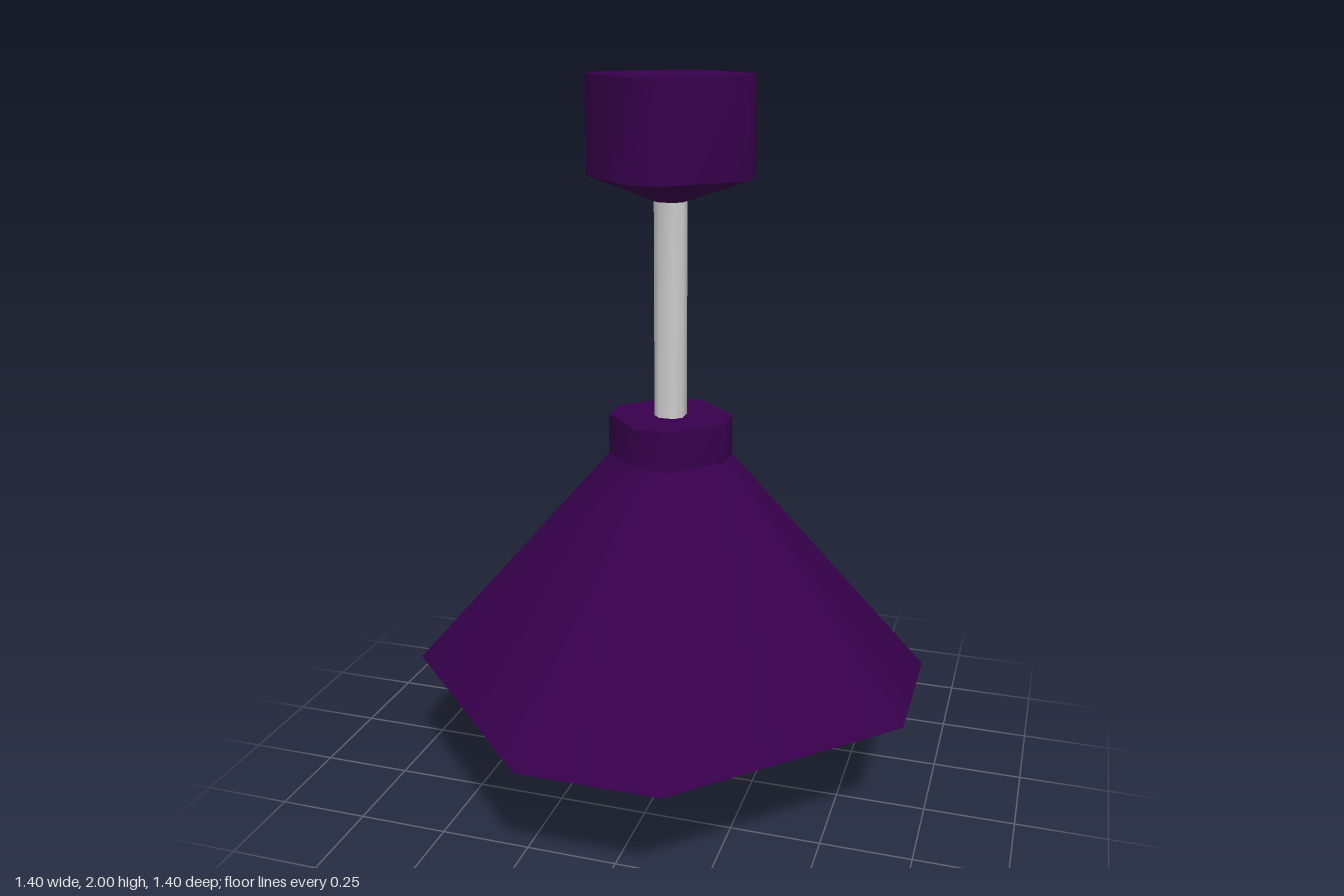
import * as THREE from 'three';
import { toCreasedNormals } from 'three/addons/utils/BufferGeometryUtils.js';

// Eight-sided ring: sides of half width c across the axes, joined by diagonal sides
function ring([r, c, y]) {
  return [[r, -c], [r, c], [c, r], [-c, r], [-r, c], [-r, -c], [-c, -r], [c, -r]]
    .map(([x, s]) => [x, y, -s]);
}

// Skin a stack of [r, c, y] rings listed from bottom to top
function loft(levels, capped = true) {
  const rings = levels.map(ring);
  const pos = [];
  const tri = (a, b, c) => pos.push(...a, ...b, ...c);
  for (let k = 0; k < rings.length - 1; k++) {
    for (let i = 0; i < 8; i++) {
      const j = (i + 1) % 8, lo = rings[k], up = rings[k + 1];
      tri(lo[i], lo[j], up[j]);
      tri(lo[i], up[j], up[i]);
    }
  }
  if (capped) {
    const first = rings[0], last = rings[rings.length - 1];
    for (let i = 1; i < 7; i++) {
      tri(first[0], first[i + 1], first[i]);
      tri(last[0], last[i], last[i + 1]);
    }
  }
  const geo = new THREE.BufferGeometry();
  geo.setAttribute('position', new THREE.Float32BufferAttribute(pos, 3));
  return toCreasedNormals(geo, THREE.MathUtils.degToRad(62));
}

export function createModel() {
  const model = new THREE.Group();
  model.name = 'pendantLamp';
  const purple = new THREE.MeshStandardMaterial({ color: 0x37004c });
  const purpleSheet = new THREE.MeshStandardMaterial({ color: 0x37004c, side: THREE.DoubleSide });
  const brass = new THREE.MeshStandardMaterial({ color: 0xb58640 });
  const grey = new THREE.MeshStandardMaterial({ color: 0xcccccc });

  const add = (name, geo, material) => {
    const mesh = new THREE.Mesh(geo, material);
    mesh.name = name;
    model.add(mesh);
  };

  // Ceiling canopy with a shallow tapered underside
  add('ceilingCanopy', loft([[0.04, 0.02, 1.68], [0.216, 0.047, 1.743], [0.216, 0.047, 2]]), purple);

  // Hanging rod
  add('rod', loft([[0.04, 0.02, 1.09], [0.04, 0.02, 1.69]]), grey);

  // Collar and open shade
  add('collar', loft([[0.163, 0.046, 0.99], [0.163, 0.046, 1.1]]), purple);
  add('shade', loft([[0.7, 0.193, 0.357], [0.163, 0.046, 0.99]], false), purpleSheet);

  // Bulb holder: narrow stem flaring to a wide flat underside
  add('socket', loft([[0.187, 0.11, 0.43], [0.073, 0.043, 0.59], [0.073, 0.043, 0.99]]), brass);

  // Faceted bulb ending in a small square
  add('bulb', loft([
    [0.097, 0.097, 0], [0.185, 0.075, 0.075], [0.216, 0.1, 0.2],
    [0.165, 0.075, 0.36], [0.145, 0.065, 0.43],
  ]), grey);

  return model;
}
